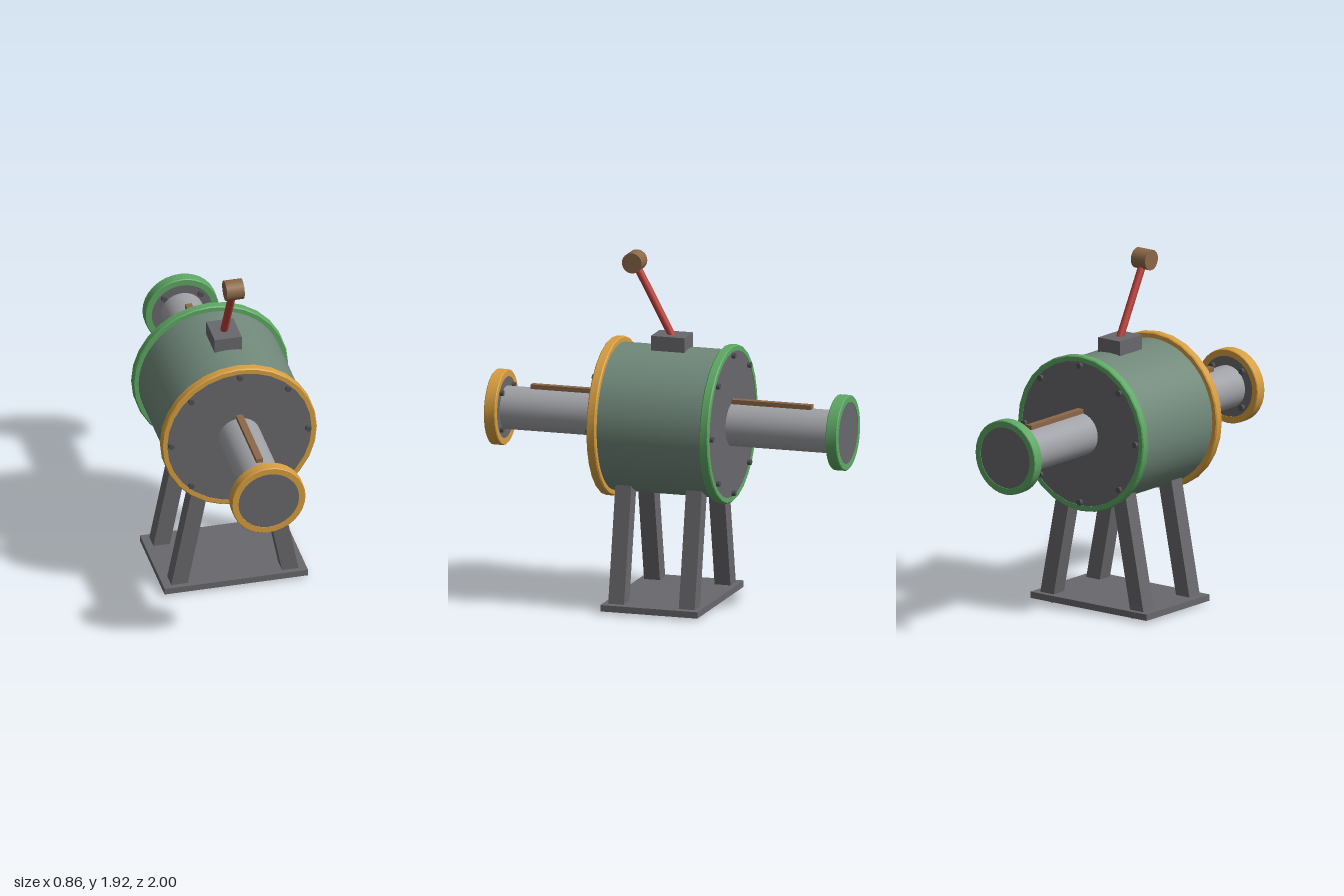
import * as THREE from 'three';
import { toCreasedNormals } from 'three/addons/utils/BufferGeometryUtils.js';

const material = (name, color) => {
  const m = new THREE.MeshStandardMaterial({ color });
  m.name = name;
  return m;
};

export function createModel() {
  const root = new THREE.Group();
  root.name = 'leverMachine';

  const drumGreen = material('drumGreen', 0x70887a);
  const darkGrey = material('darkGrey', 0x69696d);
  const boltGrey = material('boltGrey', 0x505055);
  const pipeGrey = material('pipeGrey', 0xa0a1a6);
  const gold = material('gold', 0xd69e40);
  const green = material('green', 0x5ea864);
  const brown = material('brown', 0x8c6848);
  const red = material('red', 0xba403a);

  const AXIS_Y = 1.007;

  function add(parent, name, geometry, mat, x = 0, y = 0, z = 0) {
    const mesh = new THREE.Mesh(geometry, mat);
    mesh.name = name;
    mesh.position.set(x, y, z);
    parent.add(mesh);
    return mesh;
  }

  // Cylinder lying along z
  const zCylinder = (r, length, sides = 32) =>
    new THREE.CylinderGeometry(r, r, length, sides).rotateX(Math.PI / 2);

  // Closed ring around z with a small chamfer on its outer edges
  function zRing(inner, outer, depth, bevel, sides) {
    const h = depth / 2;
    const profile = [
      [inner, -h], [outer - bevel, -h], [outer, -h + bevel],
      [outer, h - bevel], [outer - bevel, h], [inner, h], [inner, -h],
    ].map(([r, y]) => new THREE.Vector2(r, y));
    const ring = new THREE.LatheGeometry(profile, sides).rotateX(Math.PI / 2);
    return toCreasedNormals(ring, 0.5);
  }

  // Circle of bolts in the xy plane
  function boltCircle(parent, count, radius, z, start, size) {
    for (let i = 0; i < count; i++) {
      const a = start + (i / count) * Math.PI * 2;
      add(parent, 'bolt', zCylinder(size, 0.03, 10), boltGrey,
        Math.cos(a) * radius, Math.sin(a) * radius, z);
    }
  }

  // Drum
  add(root, 'drum', zCylinder(0.4, 0.6, 48), drumGreen, 0, AXIS_Y, 0);

  // One assembly per end: flange, pipe, end flange and wooden rail
  for (const side of [1, -1]) {
    const end = new THREE.Group();
    end.name = side > 0 ? 'frontEnd' : 'backEnd';
    end.position.y = AXIS_Y;
    root.add(end);
    const ringColor = side > 0 ? gold : green;

    add(end, 'drumCover', zCylinder(0.408, 0.044), darkGrey, 0, 0, side * 0.32);
    add(end, 'drumFlangeRing', zRing(0.4, 0.431, 0.05, 0.006, 28), ringColor, 0, 0, side * 0.32);
    boltCircle(end, 8, 0.38, side * 0.346, 0, 0.016);

    add(end, 'pipe', zCylinder(0.117, 0.62), pipeGrey, 0, 0, side * 0.64);
    add(end, 'pipeCover', zCylinder(0.172, 0.058), darkGrey, 0, 0, side * 0.968);
    add(end, 'pipeFlangeRing', zRing(0.168, 0.205, 0.064, 0.004, 32), ringColor, 0, 0, side * 0.968);
    boltCircle(end, 4, 0.143, side * 0.935, Math.PI / 4, 0.016);

    add(end, 'rail', new THREE.BoxGeometry(0.037, 0.028, 0.48), brown, 0, 0.126, side * 0.555);
  }

  // Splayed legs on a base plate
  add(root, 'basePlate', new THREE.BoxGeometry(0.795, 0.035, 0.55), darkGrey, 0, 0.033, 0);
  for (const sx of [1, -1]) {
    for (const sz of [1, -1]) {
      const leg = add(root, 'leg', new THREE.BoxGeometry(0.09, 0.676, 0.09), darkGrey,
        sx * 0.25, 0.342, sz * 0.2);
      leg.rotation.z = sx * 0.194;
    }
  }

  // Lever mount, rod and knob
  add(root, 'leverMount', new THREE.BoxGeometry(0.15, 0.09, 0.19), darkGrey, 0, 1.435, 0);
  const foot = new THREE.Vector3(0, 1.45, -0.012);
  const tip = new THREE.Vector3(0, 1.866, 0.212);
  const along = tip.clone().sub(foot);
  const lever = add(root, 'leverRod', new THREE.CylinderGeometry(0.021, 0.021, along.length(), 16), red);
  lever.position.copy(foot).addScaledVector(along, 0.5);
  lever.quaternion.setFromUnitVectors(new THREE.Vector3(0, 1, 0), along.clone().normalize());
  const knob = add(root, 'leverKnob', new THREE.CylinderGeometry(0.056, 0.056, 0.098, 24), brown,
    tip.x, tip.y, tip.z);
  knob.rotation.z = Math.PI / 2;

  return root;
}
